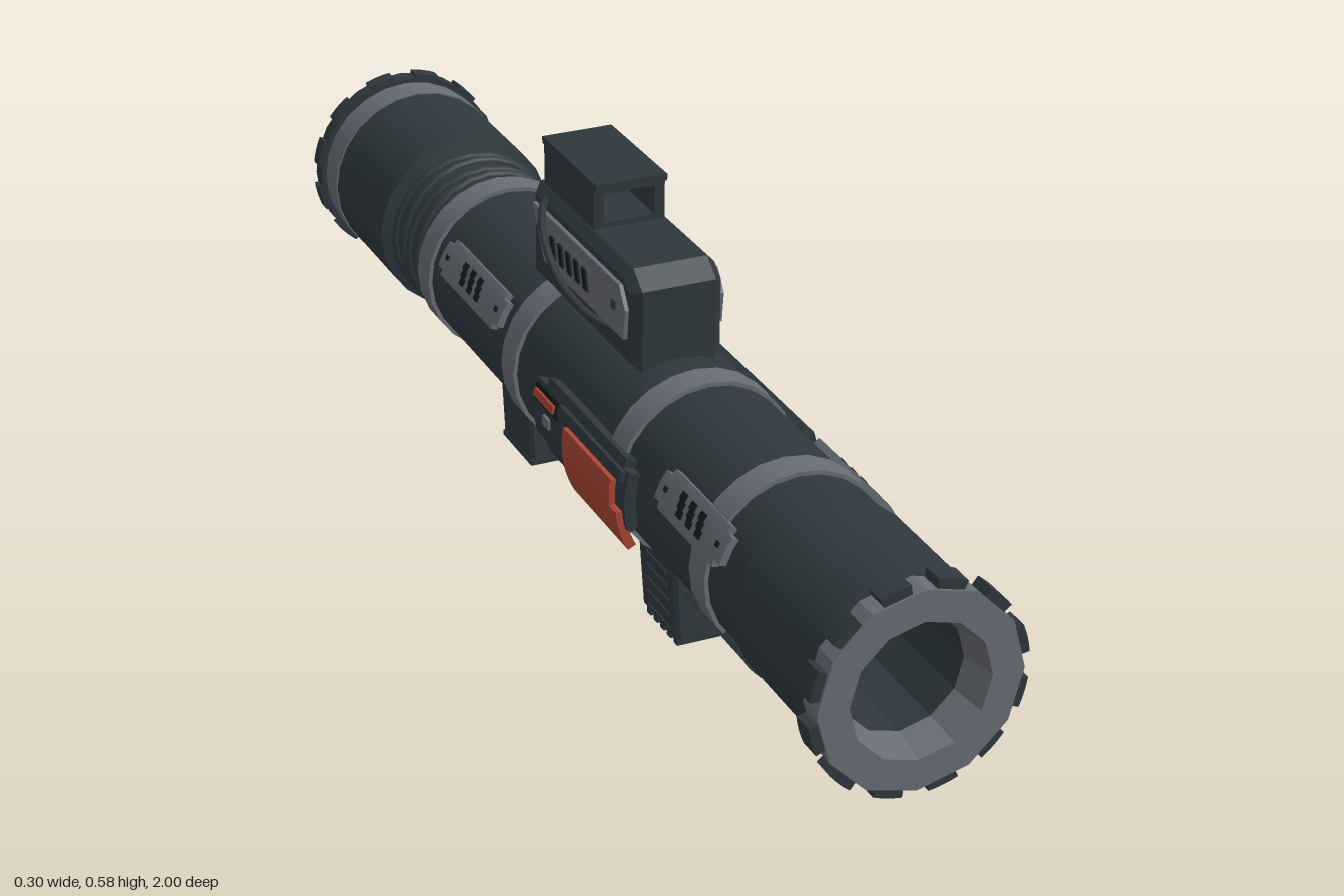
import * as THREE from 'three';
import { toCreasedNormals } from 'three/addons/utils/BufferGeometryUtils.js';

const AXIS = 0.252; // height of the tube's centre line

function material(name, color, extra = {}) {
  const m = new THREE.MeshStandardMaterial({ color, ...extra });
  m.name = name;
  return m;
}

export function createModel() {
  const dark = material('dark slate', 0x2e383d);
  const grey = material('steel grey', 0x686c75);
  const nose = material('warhead grey', 0x7e8184);
  const orange = material('orange red', 0xa84535);
  const black = material('slot black', 0x161b1e);

  const model = new THREE.Group();
  model.name = 'launcher';
  const add = (name, geometry, mat) => {
    const mesh = new THREE.Mesh(geometry, mat);
    mesh.name = name;
    model.add(mesh);
    return mesh;
  };

  // Turned part along z; profile is [radius, z], running towards +z on the outside
  const turned = (name, profile, mat, sides = 24, crease = 0.45) => {
    const g = new THREE.LatheGeometry(profile.map(p => new THREE.Vector2(...p)), sides);
    g.rotateX(Math.PI / 2).translate(0, AXIS, 0);
    return add(name, toCreasedNormals(g, crease), mat);
  };

  // Curved plate wrapped on the tube, angles in degrees from +x
  const sector = (name, r0, r1, a0, a1, z0, z1, mat) => {
    const s = new THREE.Shape(), k = Math.PI / 180;
    s.absarc(0, 0, r1, a0 * k, a1 * k, false);
    s.absarc(0, 0, r0, a1 * k, a0 * k, true);
    const g = new THREE.ExtrudeGeometry(s, { depth: z1 - z0, bevelEnabled: false, curveSegments: 5 });
    return add(name, g.translate(0, AXIS, z0), mat);
  };
  const sectorPair = (name, r0, r1, a0, a1, z0, z1, mat) => {
    sector(name + 'Left', r0, r1, a0, a1, z0, z1, mat);
    sector(name + 'Right', r0, r1, 180 - a1, 180 - a0, z0, z1, mat);
  };

  // Side outline in [z, y], extruded from x0 to x1
  const prism = (name, outline, x0, x1, mat, bevel = 0) => {
    const s = new THREE.Shape(outline.map(([z, y]) => new THREE.Vector2(-z, y)));
    const g = new THREE.ExtrudeGeometry(s, {
      depth: x1 - x0 - 2 * bevel, bevelEnabled: bevel > 0, bevelThickness: bevel,
      bevelSize: bevel, bevelOffset: -bevel, bevelSegments: 1,
    });
    return add(name, g.rotateY(Math.PI / 2).translate(x0 + bevel, 0, 0), mat);
  };
  const box = (name, w, h, d, x, y, z, mat) =>
    add(name, new THREE.BoxGeometry(w, h, d).translate(x, y, z), mat);

  // Main tube
  turned('tube', [[0.139, -0.7], [0.139, -0.49], [0.12, -0.485], [0.12, -0.35], [0.126, -0.35],
    [0.126, 0.75], [0.132, 0.75], [0.132, 0.966]], dark);
  for (const [i, [z0, z1]] of [[0.62, 0.665], [0.35, 0.395], [-0.015, 0.03], [-0.35, -0.305]].entries())
    turned('band' + i, [[0.12, z0], [0.132, z0], [0.132, z1], [0.12, z1]], grey);

  // Loose coils in the recessed neck
  for (let i = 0; i < 4; i++) {
    const coil = add('neckCoil' + i, new THREE.TorusGeometry(0.122, 0.006, 6, 24), dark);
    coil.position.set(0, AXIS, -0.382 - i * 0.029);
    coil.rotation.set(i % 2 ? 0.04 : -0.03, i % 2 ? -0.03 : 0.04, 0);
  }

  // Muzzle ring, bore and rim studs
  turned('muzzleRing', [[0.12, 0.962], [0.14, 0.962], [0.141, 1], [0.097, 1], [0.085, 0.95]], grey, 12, 0.1);
  turned('bore', [[0.085, 0.95], [0.085, 0.5], [0, 0.5]], dark, 12, 0.1);
  box('boreBlock', 0.13, 0.07, 0.1, 0, 0.203, 0.56, dark);
  for (let i = 0; i < 12; i++)
    sector('muzzleStud' + i, 0.13, 0.15, i * 30 + 7, i * 30 + 23, 0.963, 0.996, dark);

  // Rear collar and flange
  turned('rearCollar', [[0.12, -0.69], [0.12, -0.69]].slice(1).concat([]).length ?
    [[0, -0.768], [0.138, -0.768], [0.141, -0.69], [0.12, -0.69]] : [], grey);
  turned('rearFlange', [[0.137, -0.768], [0.147, -0.768], [0.147, -0.744], [0.137, -0.744]], dark);
  for (let i = 0; i < 12; i++)
    sector('rearStud' + i, 0.14, 0.151, i * 30 + 7, i * 30 + 23, -0.769, -0.746, dark);

  // Warhead with painted zigzag
  turned('warhead', [[0, -1], [0.012, -0.99], [0.03, -0.965], [0.052, -0.93], [0.082, -0.876],
    [0.096, -0.848], [0.102, -0.82], [0.1, -0.79], [0.085, -0.766]], nose, 24, 0.8);
  const zigzag = [];
  for (let i = 0; i < 24; i++) {
    const a = i / 24 * Math.PI * 2;
    zigzag.push(new THREE.Vector3(0.1 * Math.cos(a), AXIS + 0.1 * Math.sin(a), -0.806 + (i % 2 ? 0.006 : -0.006)));
  }
  add('warheadStripe', new THREE.TubeGeometry(new THREE.CatmullRomCurve3(zigzag, true), 96, 0.004, 5, true), orange);
  for (let i = 0; i < 8; i++)
    sector('warheadMark' + i, 0.095, 0.1035, i * 45 + 16, i * 45 + 29, -0.818, -0.8, orange);

  // Grey side plates with slots and bolts
  for (const [n, z0, z1] of [['front', 0.505, 0.7], ['rear', -0.27, -0.04]]) {
    const mid = (z0 + z1) / 2;
    sectorPair(n + 'Plate', 0.12, 0.136, 15, 40, z0 + 0.015, z1 - 0.015, grey);
    sectorPair(n + 'PlateEnds', 0.12, 0.136, 19, 36, z0, z1, grey);
    for (let i = -1; i <= 1; i++)
      for (let j = 0; j < 3; j++)
        sectorPair(n + 'Slot', 0.13, 0.138, 21 + j * 4.5, 25.5 + j * 4.5,
          mid + i * 0.028 - 0.005 - j * 0.004, mid + i * 0.028 + 0.009 - j * 0.004, black);
    for (const z of [z0 + 0.02, z1 - 0.02])
      sectorPair(n + 'Bolt', 0.13, 0.138, 26, 29, z - 0.004, z + 0.004, black);
  }
  sectorPair('lowerPlate', 0.12, 0.135, -60, -38, 0.55, 0.75, dark);

  // Side housings with orange covers
  sectorPair('housing', 0.12, 0.142, -24, 24, 0.16, 0.42, dark);
  sectorPair('housingEdge', 0.12, 0.142, -16, 19, 0.13, 0.44, dark);
  sectorPair('housingLip', 0.13, 0.149, 12, 18, 0.22, 0.43, dark);
  sectorPair('cover', 0.138, 0.151, -29, 10, 0.25, 0.41, orange);
  sectorPair('coverFront', 0.138, 0.151, -29, -5, 0.4, 0.432, orange);
  sectorPair('switchFrame', 0.135, 0.145, 7, 17, 0.135, 0.215, black);
  sectorPair('switch', 0.135, 0.149, 9.5, 14, 0.14, 0.205, orange);
  sectorPair('button', 0.135, 0.146, -3, 3, 0.17, 0.19, grey);

  // Grips, base teeth, side ribs and trigger
  prism('frontGrip', [[0.4, 0.15], [0.28, 0.15], [0.305, 0.008], [0.42, 0.008]], -0.053, 0.053, dark, 0.006);
  prism('rearGrip', [[-0.11, 0.15], [-0.22, 0.15], [-0.205, 0.03], [-0.095, 0.03]], -0.053, 0.053, dark, 0.006);
  box('rearGripFoot', 0.108, 0.008, 0.11, 0, 0.032, -0.15, dark);
  for (let i = 0; i < 5; i++) {
    box('gripTooth' + i, 0.1, 0.012, 0.012, 0, 0.006, 0.32 + i * 0.022, dark);
    box('gripRib' + i, 0.11, 0.005, 0.07, 0, 0.02 + i * 0.02, 0.362 - i * 0.003, dark);
  }
  prism('trigger', [[0.275, 0.14], [0.255, 0.14], [0.24, 0.105], [0.248, 0.098]], -0.009, 0.009, grey);

  // Sight housing
  prism('sightBody', [[0.3, 0.365], [0.3, 0.485], [0.27, 0.508], [-0.052, 0.508], [-0.052, 0.365]],
    -0.067, 0.067, dark, 0.013);
  const plate = [[0.28, 0.41], [0.285, 0.455], [0.265, 0.485], [-0.035, 0.485], [-0.03, 0.47], [0.005, 0.41]];
  prism('sightPlateLeft', plate, 0.06, 0.073, grey);
  prism('sightPlateRight', plate, -0.073, -0.06, grey);
  for (const [z, y] of [[0.25, 0.45], [-0.005, 0.46]])
    box('sightBolt', 0.152, 0.012, 0.012, 0, y, z, dark);
  for (let i = 0; i < 6; i++) {
    const z = 0.01 + i * 0.028;
    prism('sightVent' + i, [[z, 0.43], [z + 0.014, 0.43], [z + 0.006, 0.46], [z - 0.008, 0.46]], -0.076, -0.07, black);
  }

  // Open sight hood and its aiming marks
  const hood = new THREE.Shape([[-0.053, 0.505], [0.053, 0.505], [0.053, 0.575], [-0.053, 0.575]]
    .map(p => new THREE.Vector2(...p)));
  hood.holes.push(new THREE.Path([[-0.038, 0.516], [-0.038, 0.559], [0.038, 0.559], [0.038, 0.516]]
    .map(p => new THREE.Vector2(...p))));
  add('sightHood', new THREE.ExtrudeGeometry(hood, { depth: 0.175, bevelEnabled: false }).translate(0, 0, -0.04), dark);
  box('hoodRoof', 0.106, 0.01, 0.19, 0, 0.572, 0.048, dark);
  box('sightLamp', 0.02, 0.007, 0.02, 0, 0.556, -0.035, orange);
  box('sightDot', 0.005, 0.005, 0.005, 0, 0.538, -0.04, orange);

  // Cable on the right of the sight
  const cable = new THREE.CatmullRomCurve3([[-0.05, 0.495, -0.03], [-0.082, 0.492, 0.02], [-0.097, 0.465, 0.07],
    [-0.097, 0.43, 0.13], [-0.085, 0.41, 0.19], [-0.06, 0.4, 0.23]].map(p => new THREE.Vector3(...p)));
  add('cable', new THREE.TubeGeometry(cable, 20, 0.006, 6), dark);

  return model;
}
